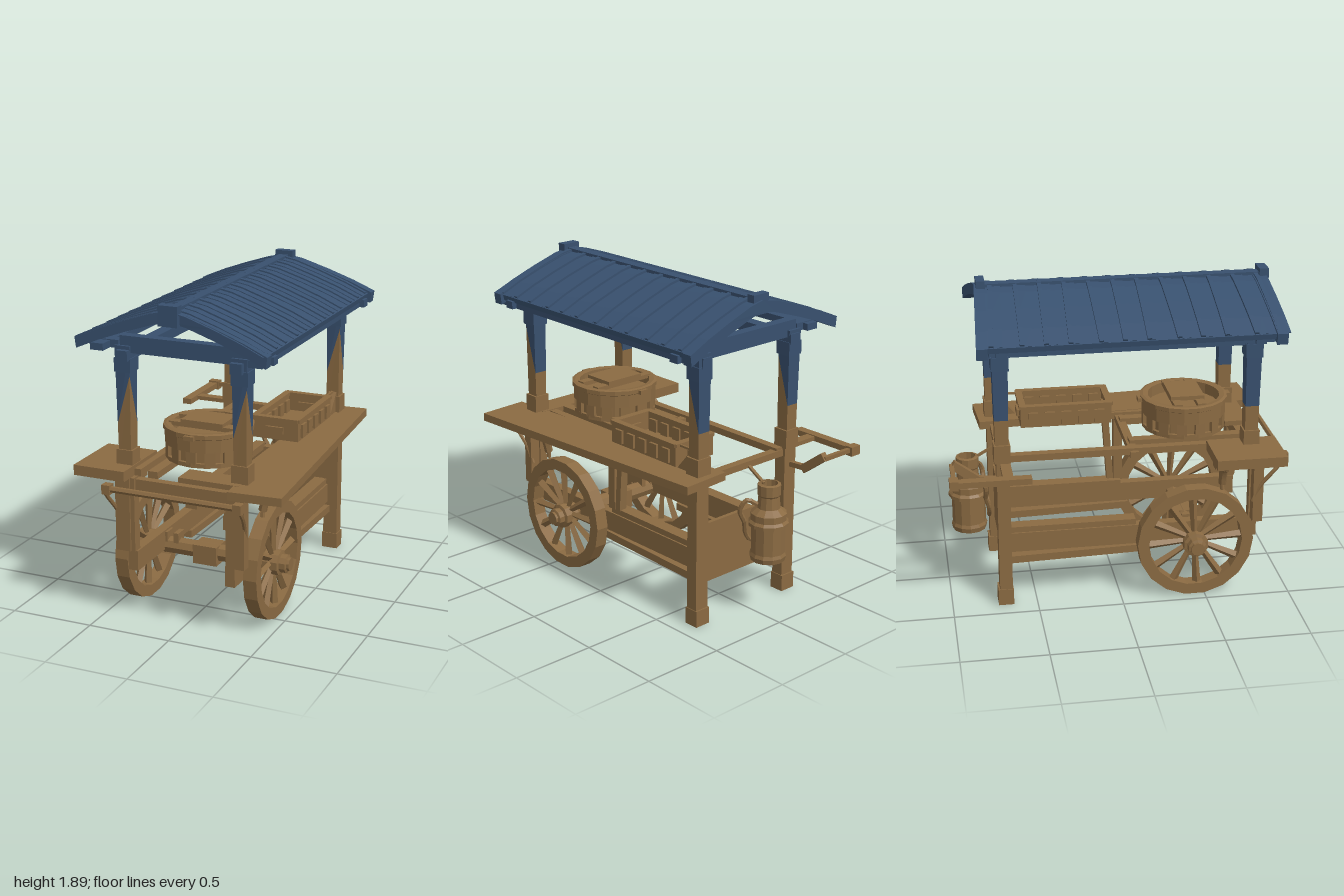
import * as THREE from 'three';

const mat = (color) => new THREE.MeshStandardMaterial({ color, flatShading: true, side: THREE.DoubleSide });
const V = (x, y, z) => new THREE.Vector3(x, y, z);

export function createModel() {
  const root = new THREE.Group();
  const wood = mat(0x8a6a42), blue = mat(0x38506e);

  const add = (name, geo, m = wood, parent = root) => {
    const mesh = new THREE.Mesh(geo, m);
    mesh.name = name;
    parent.add(mesh);
    return mesh;
  };
  // Box given by its min and max on each axis
  const box = (name, x0, x1, y0, y1, z0, z1, m = wood, parent = root) => {
    const b = add(name, new THREE.BoxGeometry(x1 - x0, y1 - y0, z1 - z0), m, parent);
    b.position.set((x0 + x1) / 2, (y0 + y1) / 2, (z0 + z1) / 2);
    return b;
  };
  // Square bar between two points
  const bar = (name, a, b, w, h) => {
    const mesh = add(name, new THREE.BoxGeometry(w, h, a.distanceTo(b)));
    mesh.position.copy(a).lerp(b, 0.5);
    mesh.lookAt(b);
    return mesh;
  };
  const lathe = (name, pts, sides, parent = root) =>
    add(name, new THREE.LatheGeometry(pts.map((p) => new THREE.Vector2(...p)), sides), wood, parent);
  const tube = (name, pts, r) =>
    add(name, new THREE.TubeGeometry(new THREE.CatmullRomCurve3(pts), 10, r, 6));
  // Tapered post piece; the lift raises one corner of an end to make a diagonal paint line
  const post = (name, x, z, y0, y1, w0, w1, lift0, lift1, m) => {
    const g = new THREE.BoxGeometry(1, 1, 1), p = g.attributes.position;
    for (let i = 0; i < p.count; i++) {
      const top = p.getY(i) > 0, w = top ? w1 : w0;
      const corner = p.getX(i) > 0 && p.getZ(i) > 0 ? 1 : 0;
      p.setXYZ(i, x + p.getX(i) * w, top ? y1 + corner * lift1 : y0 + corner * lift0, z + p.getZ(i) * w);
    }
    g.computeVertexNormals();
    add(name, g, m);
  };

  // Wheels: faceted rim, tapered spokes, stepped hub
  for (const s of [-1, 1]) {
    const wheel = new THREE.Group();
    wheel.name = 'wheel';
    wheel.position.set(s * 0.4, 0.345, 0.44);
    wheel.rotation.y = s * Math.PI / 2;
    root.add(wheel);
    const ring = new THREE.Shape().absarc(0, 0, 0.347, 0, Math.PI * 2);
    ring.holes.push(new THREE.Path().absarc(0, 0, 0.28, 0, Math.PI * 2, true));
    const rim = new THREE.ExtrudeGeometry(ring, { depth: 0.08, bevelEnabled: false, curveSegments: 9 });
    add('wheelRim', rim.translate(0, 0, -0.04), wood, wheel);
    for (let i = 0; i < 12; i++) {
      const spoke = new THREE.CylinderGeometry(0.026, 0.017, 0.24, 4).translate(0, 0.17, 0);
      add('wheelSpoke', spoke.rotateZ((i * Math.PI) / 6 + 0.06), wood, wheel);
    }
    const hub = lathe('wheelHub', [[0, -0.07], [0.055, -0.07], [0.075, -0.04], [0.075, 0.05], [0.055, 0.055],
      [0.055, 0.09], [0.04, 0.095], [0.04, 0.11], [0, 0.11]], 10, wheel);
    hub.position.y = -0.015;
    hub.rotation.x = Math.PI / 2;
  }
  // Axle and its centre block
  const axle = add('axle', new THREE.CylinderGeometry(0.052, 0.052, 0.72, 8).rotateZ(Math.PI / 2));
  axle.position.set(0, 0.33, 0.44);
  box('axleBlock', -0.08, 0.07, 0.265, 0.38, 0.375, 0.505);
  for (const x of [-0.27, -0.2]) box('axleClamp', x - 0.015, x + 0.015, 0.34, 0.42, 0.4, 0.48);

  // Side frame, posts and eave beams, mirrored
  for (const s of [-1, 1]) {
    const px = s * 0.35;
    box('sideBeam', s * 0.3 - 0.03, s * 0.3 + 0.03, 0.31, 0.43, -0.65, 0.83);
    box('topStrip', s * 0.28 - 0.04, s * 0.28 + 0.04, 0.43, 0.465, -0.65, 0.1);
    bar('lowerRail', V(s * 0.3, 0.265, -0.65), V(s * 0.3, 0.285, 0.15), 0.09, 0.045);
    box('topRail', s * 0.28 - 0.025, s * 0.28 + 0.025, 0.875, 0.915, -0.7, 0.8);
    box('frontLeg', px - 0.045, px + 0.045, 0.43, 0.9, 0.79, 0.85);
    box('frontLegLining', s * 0.305 - 0.025, s * 0.305 + 0.025, 0.43, 0.87, 0.78, 0.84);
    box('backLeg', px - 0.045, px + 0.045, 0, 0.92, -0.72, -0.645);
    box('backFoot', px - 0.05, px + 0.05, 0, 0.1, -0.73, -0.64);
    for (const z of [0.765, -0.685]) {
      box('postBase', px - 0.05, px + 0.05, 0.91, 1.02, z - 0.047, z + 0.047);
      post('lowerPost', px, z, 0.95, 1.17, 0.075, 0.08, 0, 0.28, wood);
      post('upperPost', px, z, 1.17, 1.62, 0.08, 0.092, 0.28, 0, blue);
      box('postCollar', px - 0.05, px + 0.05, 1.47, 1.55, z - 0.05, z + 0.05, blue);
    }
    box('sideRoofBeam', s * 0.34 - 0.035, s * 0.34 + 0.035, 1.54, 1.6, -0.74, 0.84, blue);
    box('eavePurlin', s * 0.47 - 0.04, s * 0.47 + 0.04, 1.6, 1.64, -0.75, 0.88, blue);
    // Front handle arms and hooks
    tube('handleArm', [V(s * 0.4, 0.84, 0.97), V(s * 0.41, 0.78, 0.92), V(s * 0.39, 0.66, 0.83), V(s * 0.38, 0.56, 0.79)], 0.012);
    tube('sideHook', [V(s * 0.48, 0.83, 0.6), V(s * 0.44, 0.81, 0.6), V(s * 0.415, 0.76, 0.6), V(s * 0.4, 0.7, 0.6)], 0.025);
    tube('hangingLink', [V(s * 0.4, 0.87, 0.6), V(s * 0.4, 0.78, 0.59), V(s * 0.4, 0.66, 0.6)], 0.013);
    box('hookBlock', s * 0.38 - 0.04, s * 0.38 + 0.04, 0.79, 0.87, 0.555, 0.64);
  }
  box('middlePost', 0.27, 0.33, 0.46, 0.88, 0.06, 0.115);
  bar('middleStrut', V(0.3, 0.46, 0.04), V(0.3, 0.88, 0.01), 0.05, 0.04);
  tube('handleBar', [V(-0.39, 0.84, 0.97), V(0.42, 0.84, 0.97)], 0.018);
  for (const x of [-0.38, 0.41]) box('handleEnd', x - 0.025, x + 0.025, 0.81, 0.865, 0.94, 0.99);

  // Cross members and the back panel
  box('frontApron', -0.36, 0.36, 0.79, 0.86, 0.77, 0.82);
  box('backPanel', -0.32, 0.32, 0.24, 0.6, -0.69, -0.665);
  for (const z of [-0.68, 0.09]) box('topCrossBar', -0.33, 0.33, 0.86, 0.9, z - 0.025, z + 0.025);
  for (const x of [-0.17, 0.17]) box('steamerRail', x - 0.03, x + 0.03, 0.88, 0.92, 0.08, 0.82);
  box('frontLedge', 0, 0.36, 0.89, 0.92, 0.7, 0.85);

  // Counter: long slanted plank on the left, short shelf on the right
  const plank = box('counterPlank', 0.28, 0.587, 0.87, 0.918, -0.78, 0.94);
  plank.rotation.y = 0.066;
  box('shortShelf', -0.61, -0.295, 0.875, 0.935, 0.52, 0.93);

  // Steamer basket
  const steamer = new THREE.Group();
  steamer.name = 'steamer';
  steamer.position.set(0, 0.925, 0.44);
  root.add(steamer);
  lathe('basketWall', [[0.2, 0.0], [0.25, 0], [0.25, 0.025], [0.232, 0.025], [0.232, 0.09], [0.253, 0.09],
    [0.253, 0.165], [0.262, 0.17], [0.262, 0.195], [0.245, 0.2], [0.215, 0.195], [0.21, 0], [0.2, 0]], 18, steamer);
  lathe('basketFloor', [[0, 0.13], [0.215, 0.13]], 18, steamer);
  for (let i = 0; i < 14; i++) {
    const slat = new THREE.BoxGeometry(0.06, 0.08, 0.02).translate(0, 0.055, 0.238);
    add('basketSlat', slat.rotateY((i * Math.PI) / 7), wood, steamer);
  }
  for (const z of [-0.07, 0.07]) box('lidSlat', -0.21, 0.21, 0.18, 0.205, z - 0.025, z + 0.025, wood, steamer);
  box('lidPlank', -0.13, 0.13, 0.2, 0.225, -0.1, 0.1, wood, steamer);
  for (const s of [-1, 1]) box('basketGrip', -0.03, 0.03, 0.165, 0.19, s * 0.26 - 0.02, s * 0.26 + 0.02, wood, steamer);

  // Open crate with raised panels
  const [cx0, cx1, cz0, cz1] = [0.09, 0.38, -0.53, 0.02];
  box('crateFloor', cx0, cx1, 0.92, 0.94, cz0, cz1);
  for (const x of [cx0, cx1 - 0.025]) {
    box('crateSide', x, x + 0.025, 0.92, 1.04, cz0, cz1);
    box('crateRim', x - 0.008, x + 0.033, 1.035, 1.055, cz0, cz1);
    for (let i = 0; i < 5; i++) box('cratePanel', x - 0.015, x + 0.04, 0.935, 1.015, -0.485 + i * 0.1, -0.425 + i * 0.1);
  }
  for (const z of [cz0, cz1 - 0.025]) {
    box('crateEnd', cx0, cx1, 0.92, 1.04, z, z + 0.025);
    box('crateRim', cx0, cx1, 1.035, 1.055, z - 0.008, z + 0.033);
    box('crateGrip', 0.18, 0.29, 0.96, 1.0, z - 0.015, z + 0.04);
  }
  bar('crateRod', V(0.35, 1.045, -0.5), V(0.35, 1.045, -0.66), 0.012, 0.012);
  // Triangular brace at the back left post
  const tri = new THREE.Shape([[0.54, 0.92], [0.65, 0.92], [0.65, 1.05]].map((p) => new THREE.Vector2(...p)));
  const brace = add('postGusset', new THREE.ExtrudeGeometry(tri, { depth: 0.05, bevelEnabled: false }));
  brace.rotation.y = Math.PI / 2;
  brace.position.x = 0.325;

  // Hanging can at the back
  const can = lathe('hangingCan', [[0, 0.35], [0.1, 0.35], [0.107, 0.38], [0.1, 0.4], [0.1, 0.56], [0.118, 0.565], [0.118, 0.585],
    [0.105, 0.6], [0.105, 0.64], [0.068, 0.67], [0.062, 0.74], [0.068, 0.75], [0.068, 0.81], [0.05, 0.815], [0.05, 0.72], [0, 0.72]], 12);
  can.position.set(-0.03, 0, -0.865);
  for (const s of [-1, 1]) {
    tube('canHandle', [V(-0.03 + s * 0.06, 0.69, -0.83), V(-0.03 + s * 0.11, 0.72, -0.8), V(-0.03 + s * 0.135, 0.66, -0.77),
      V(-0.03 + s * 0.1, 0.58, -0.77)], 0.015);
  }
  tube('canChain', [V(-0.13, 0.58, -0.77), V(-0.09, 0.48, -0.745), V(-0.03, 0.42, -0.745), V(0.03, 0.48, -0.745), V(0.07, 0.58, -0.77)], 0.013);
  bar('canHanger', V(-0.03, 0.87, -0.7), V(-0.03, 0.8, -0.82), 0.02, 0.012);

  // Push handle at the back right
  box('handleSideArm', -0.635, -0.58, 0.88, 0.915, -0.98, -0.54);
  box('handleKnob', -0.64, -0.57, 0.87, 0.925, -1.0, -0.95);
  box('handleCrossBar', -0.6, -0.36, 0.89, 0.915, -0.985, -0.96);
  bar('handleStay', V(-0.37, 0.915, -0.97), V(-0.36, 0.8, -0.82), 0.04, 0.05);
  bar('handleStay', V(-0.36, 0.81, -0.83), V(-0.36, 0.8, -0.68), 0.03, 0.03);
  box('handleSupport', -0.6, -0.33, 0.885, 0.91, -0.7, -0.64);

  // Roof: bent section extruded along z, ends splayed at the eaves
  const curve = [[0, 1.857], [0.1, 1.838], [0.26, 1.785], [0.42, 1.725], [0.55, 1.667]];
  const roofX = -0.022;
  const slab = (name, s, z0, z1, rise, drop, skew = 0, reach = 1) => {
    const shape = new THREE.Shape([
      ...curve.map(([x, y]) => new THREE.Vector2(s * x * reach, y + rise)),
      ...curve.slice().reverse().map(([x, y]) => new THREE.Vector2(s * (x - 0.008) * reach, y - drop))]);
    const g = new THREE.ExtrudeGeometry(shape, { depth: z1 - z0, bevelEnabled: false }).translate(0, 0, z0);
    const p = g.attributes.position;
    for (let i = 0; i < p.count; i++) {
      const e = Math.abs(p.getX(i)) / 0.57, z = p.getZ(i);
      p.setZ(i, z + 0.035 * e * (z - 0.2) + skew * e);
    }
    g.computeVertexNormals();
    add(name, g, blue).position.x = roofX;
  };
  for (const s of [-1, 1]) {
    slab('roofSlope', s, -0.78, 0.87, 0, 0.032);
    slab('bargeBoard', s, -0.79, -0.73, 0.005, 0.06, 0, 1.035);
    slab('bargeBoard', s, 0.82, 0.88, 0.005, 0.06, 0, 1.035);
    for (let i = 0; i < 12; i++) {
      const z = -0.7 + i * 0.14, skew = 0.014 * Math.sin(i * 2.1 + s);
      slab('roofRib', s, z - 0.012, z + 0.012, 0.014, 0, skew);
      slab('roofTileEdge', s, z + 0.012, z + 0.06, 0.005, 0, skew);
    }
  }
  box('ridgeCap', roofX - 0.03, roofX + 0.03, 1.83, 1.87, -0.76, 0.9, blue);
  box('ridgeBeam', roofX - 0.035, roofX + 0.035, 1.785, 1.83, -0.74, 0.84, blue);
  for (const [z0, z1] of [[0.86, 0.915], [-0.78, -0.73]]) box('ridgeEnd', roofX - 0.055, roofX + 0.06, 1.78, 1.895, z0, z1, blue);
  // Tie beams and the blocks carrying the eaves
  for (const z of [0.765, -0.685]) {
    box('tieBeam', -0.37, 0.38, 1.58, 1.675, z - 0.03, z + 0.03, blue);
    for (const s of [-1, 1]) box('eaveBlock', s * 0.46 - 0.08, s * 0.46 + 0.08, 1.6, 1.645, z - 0.03, z + 0.03, blue);
  }
  return root;
}
